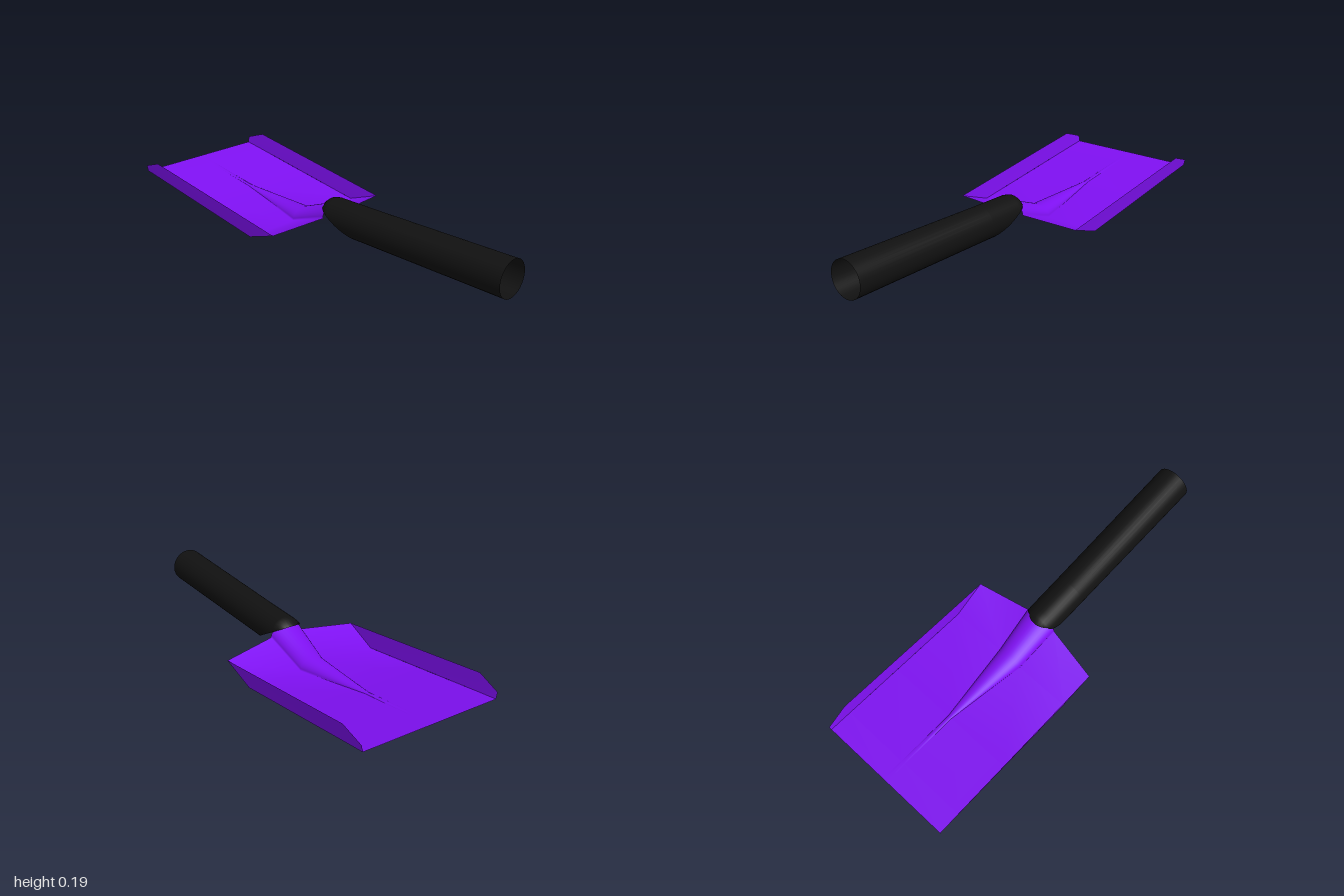
import * as THREE from 'three';
import { mergeVertices } from 'three/addons/utils/BufferGeometryUtils.js';

// Smooth skin stretched over rows of [x, y, z] points
function skin(rows) {
  const cols = rows[0].length, index = [];
  for (let i = 0; i < rows.length - 1; i++) {
    for (let j = 0; j < cols - 1; j++) {
      const a = i * cols + j, c = a + cols;
      index.push(a, a + 1, c, a + 1, c + 1, c);
    }
  }
  let geo = new THREE.BufferGeometry();
  geo.setAttribute('position', new THREE.Float32BufferAttribute(rows.flat(2), 3));
  geo.setIndex(index);
  geo = mergeVertices(geo);
  geo.computeVertexNormals();
  return geo;
}

export function createModel() {
  const group = new THREE.Group();
  const bladeMat = new THREE.MeshStandardMaterial({ color: 0x7f10f2, side: THREE.DoubleSide });
  const handleMat = new THREE.MeshStandardMaterial({ color: 0x111111, side: THREE.DoubleSide });
  const add = (name, geo, mat) => {
    const mesh = new THREE.Mesh(geo, mat);
    mesh.name = name;
    group.add(mesh);
  };

  // Blade: flat sides with a central arch that grows towards the handle
  // edge: outer corner [x, y, z]; foot: base of the arch [x, y, z]; top: height of the arch
  const sections = [
    { edge: [-1, 0.12, 0.337], foot: [-1, 0.12, 0.01], top: 0.12 },
    { edge: [-0.89, 0.104, 0.337], foot: [-0.89, 0.104, 0.01], top: 0.104 },
    { edge: [-0.6, 0.06, 0.337], foot: [-0.6, 0.06, 0.01], top: 0.061 },
    { edge: [-0.2, 0, 0.337], foot: [-0.2, 0, 0.065], top: 0.053 },
    { edge: [-0.03, 0.06, 0.345], foot: [0.02, 0.08, 0.082], top: 0.138 },
  ];
  const archSteps = 16;
  add('blade', skin(sections.map(({ edge, foot, top }) => {
    const row = [[edge[0], edge[1], -edge[2]]];
    for (let j = 0; j <= archSteps; j++) {
      const a = (j / archSteps) * Math.PI;
      row.push([foot[0], foot[1] + (top - foot[1]) * Math.sin(a), -foot[2] * Math.cos(a)]);
    }
    row.push(edge);
    return row;
  })), bladeMat);

  // Upturned side flanges, running out to nothing at the rear corners
  const flange = [
    [[-1, 0.12, 0.337], [-1, 0.15, 0.342]],
    [[-0.89, 0.104, 0.337], [-0.89, 0.187, 0.348]],
    [[-0.2, 0, 0.337], [-0.03, 0.06, 0.345]],
  ];
  add('leftFlange', skin(flange), bladeMat);
  add('rightFlange', skin(flange.map((row) => row.map(([x, y, z]) => [x, y, -z]).reverse())), bladeMat);

  // Handle: open tapered tube, cut at a slant over the blade's neck
  const sides = 32;
  const ring = (place) => Array.from({ length: sides + 1 }, (_, j) => {
    const a = ((j % sides) / sides) * Math.PI * 2;
    return place(Math.cos(a), Math.sin(a));
  });
  const slant = (y) => 0.2 - 1.7 * y;
  const neck = (c, s, squash) => {
    const y = 0.081 + 0.081 * c * (c > 0 ? squash : 1);
    return [y, 0.08 * s * (c > 0 ? 0.9 + 0.1 * squash : 1)];
  };
  add('handle', skin([
    // rounded lip
    ring((c, s) => {
      const [y, z] = neck(c, s, 0.66);
      return [Math.max(slant(y), -0.028), y, z];
    }),
    ring((c, s) => {
      const [y, z] = neck(c, s, 0.93);
      return [Math.max(slant(y), 0.0), y, z];
    }),
    ring((c, s) => {
      const [y, z] = neck(c, s, 1);
      return [Math.max(slant(y), 0.03), y, z];
    }),
    // straight grip
    ring((c, s) => [0.22, 0.082 + 0.081 * c, 0.081 * s]),
    ring((c, s) => [1, 0.09 + 0.0865 * c, 0.0865 * s]),
  ]), handleMat);

  return group;
}
